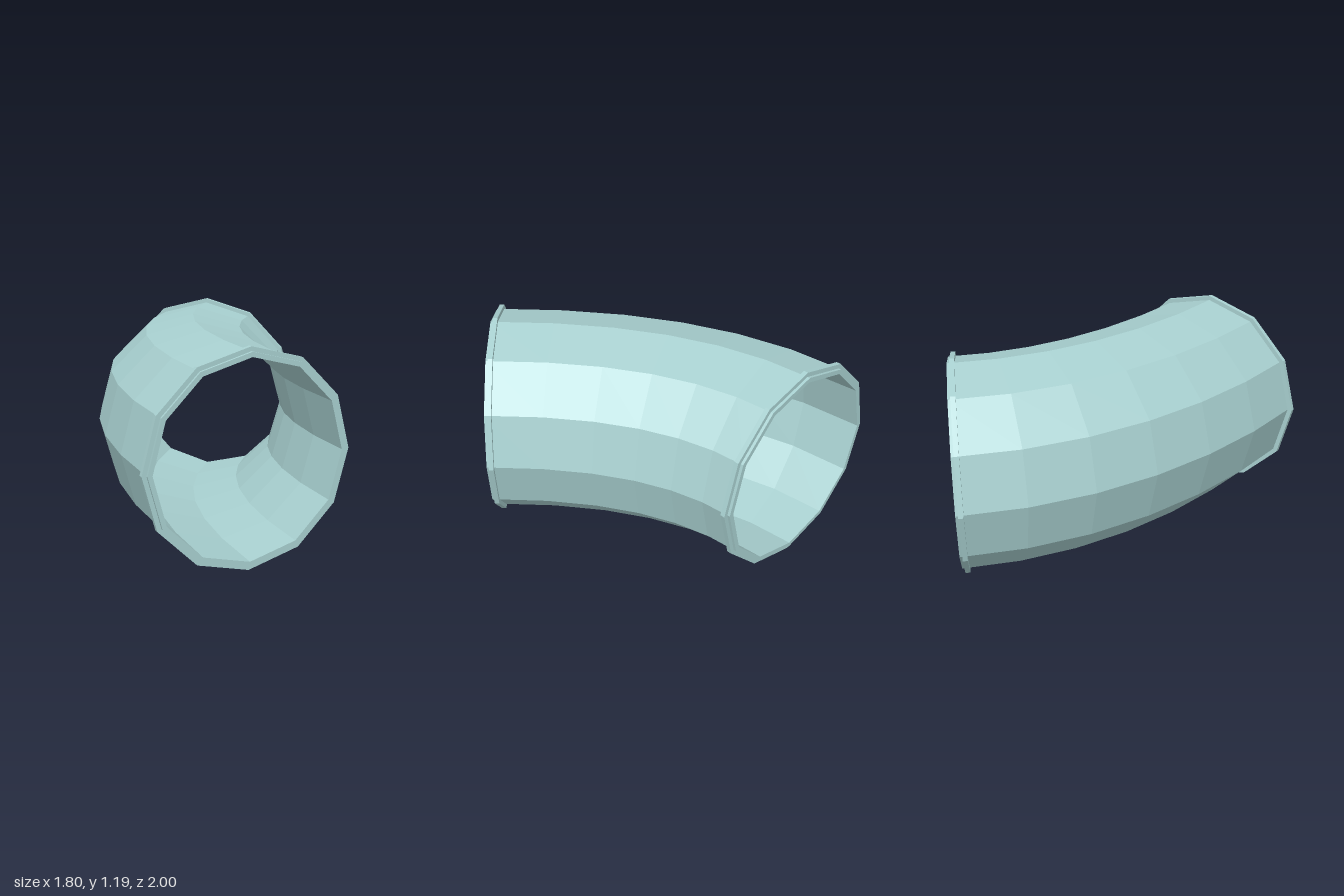
import * as THREE from 'three';

const SIDES = 12, STEPS = 6;
const AXIS_Y = 0.598, PIPE_R = 0.572, BORE_R = 0.545, FLANGE_R = 0.597;

// Centre line of the 45 degree bend
const path = new THREE.QuadraticBezierCurve3(
  new THREE.Vector3(-0.305, AXIS_Y, -1),
  new THREE.Vector3(-0.305, AXIS_Y, -0.2),
  new THREE.Vector3(0.483, AXIS_Y, 0.588)
);

// Ring of points around the path at t, moved along the tangent by offset
function ring(t, radius, offset = 0) {
  const tangent = path.getTangent(t);
  const centre = path.getPoint(t).addScaledVector(tangent, offset);
  const side = new THREE.Vector3(tangent.z, 0, -tangent.x);
  return Array.from({ length: SIDES }, (_, j) => {
    const a = (j / SIDES) * Math.PI * 2;
    const p = centre.clone().addScaledVector(side, Math.cos(a) * radius);
    p.y += Math.sin(a) * radius;
    return p;
  });
}

// Joins rings in order, the last back to the first, into a closed faceted skin
function skin(rings) {
  const points = [];
  rings.forEach((from, i) => {
    const to = rings[(i + 1) % rings.length];
    for (let j = 0; j < SIDES; j++) {
      const k = (j + 1) % SIDES;
      points.push(from[j], from[k], to[k], from[j], to[k], to[j]);
    }
  });
  const geometry = new THREE.BufferGeometry().setFromPoints(points);
  geometry.computeVertexNormals();
  return geometry;
}

export function createModel() {
  const group = new THREE.Group();
  group.name = 'pipeElbow';
  const paint = new THREE.MeshStandardMaterial({ color: 0xa8d0d0, flatShading: true });
  paint.name = 'pale teal';

  const add = (name, geometry) => {
    const mesh = new THREE.Mesh(geometry, paint);
    mesh.name = name;
    group.add(mesh);
  };

  // Hollow bent pipe: outer wall forward, bore back
  const stops = Array.from({ length: STEPS + 1 }, (_, i) => i / STEPS);
  add('pipe', skin([
    ...stops.map((t) => ring(t, PIPE_R)),
    ...stops.slice().reverse().map((t) => ring(t, BORE_R)),
  ]));

  // Thin collar set just in from each end
  const flange = (t, near, far) => skin([
    ring(t, FLANGE_R, near), ring(t, FLANGE_R, far),
    ring(t, PIPE_R - 0.01, far), ring(t, PIPE_R - 0.01, near),
  ]);
  add('backFlange', flange(0, 0.015, 0.041));
  add('frontFlange', flange(1, -0.041, -0.015));

  return group;
}
